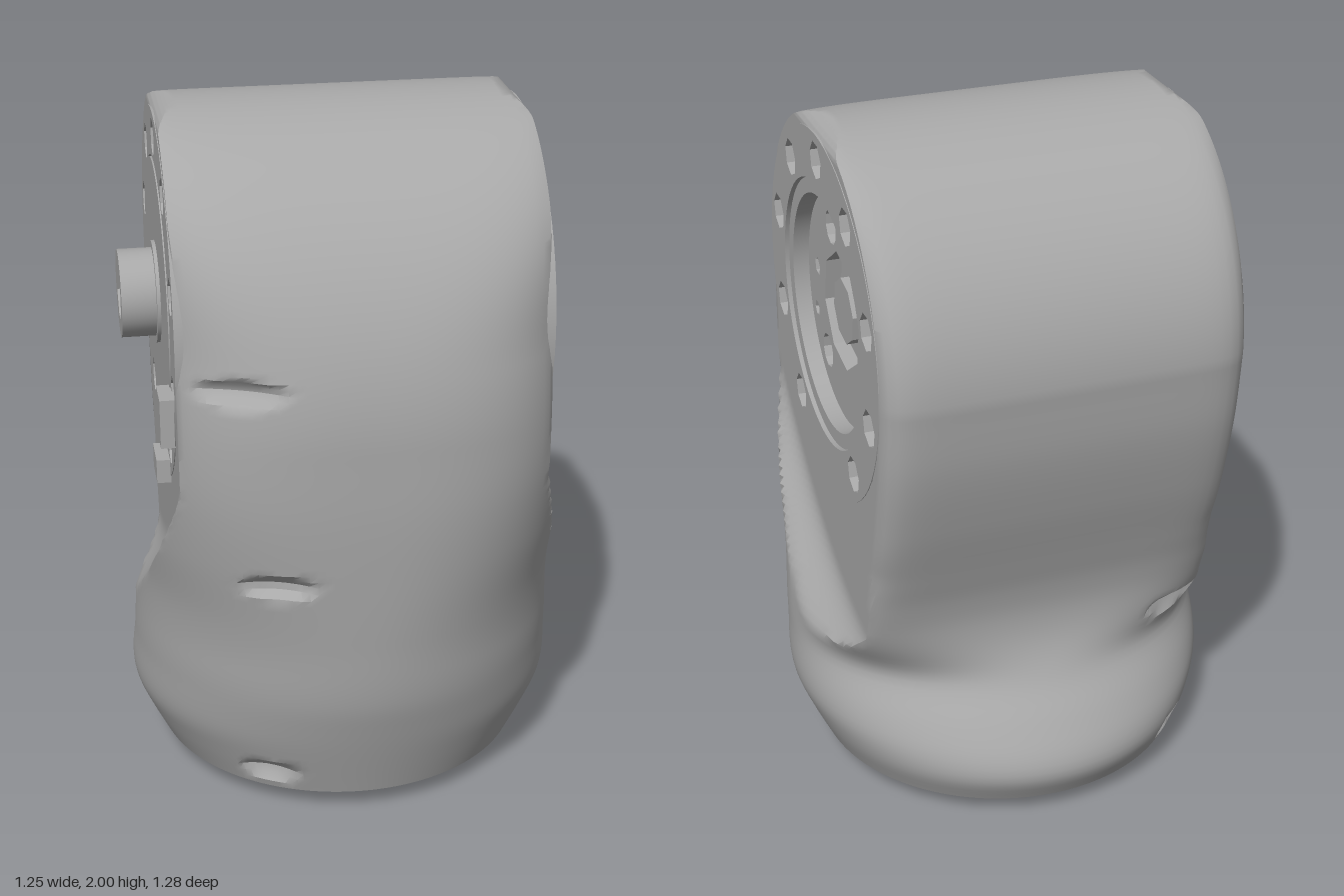
import * as THREE from 'three';
import { toCreasedNormals } from 'three/addons/utils/BufferGeometryUtils.js';

const { smoothstep, lerp } = THREE.MathUtils;
const gray = new THREE.MeshStandardMaterial({ color: 0xa8a8a8 });
gray.name = 'castGray';
const AXIS_Y = 1.44, AXIS_Z = -0.045, FACE = 0.51;

// smooth lookup of a value by height
function table(pairs) {
  const f = new THREE.CubicInterpolant(pairs.map(p => p[0]), pairs.map(p => p[1]), 1, [0]);
  return y => f.evaluate(y)[0];
}
const frontLow = table([[0.065, 0.5], [0.3, 0.57], [0.4, 0.595], [0.6, 0.615], [0.8, 0.63], [1, 0.64], [1.2, 0.64]]);
const backLow = table([[0.065, -0.59], [0.15, -0.63], [0.2, -0.625], [0.3, -0.57], [0.4, -0.5], [0.5, -0.46],
  [0.6, -0.45], [0.7, -0.465], [0.8, -0.495], [1, -0.56], [1.2, -0.61], [1.4, -0.635]]);
const middle = table([[0.065, -0.045], [0.3, -0.01], [0.6, 0.06], [1, 0], [1.4, -0.05], [2, -0.05]]);
const halfWidth = table([[0.065, 0.545], [0.16, 0.59], [0.25, 0.624], [0.4, 0.62], [0.65, 0.605], [0.85, 0.62], [2, 0.62]]);
const arc = t => Math.sqrt(Math.max(0, 1 - t * t));
const frontZ = y => (y > 1.2 ? -0.05 + 0.69 * arc((y - 1.2) / 0.8) : frontLow(y));
const backZ = y => (y > 1.4 ? -0.05 - 0.585 * arc((y - 1.4) / 0.6) : backLow(y));

// screw scoops: centre, half width, inward direction (x, z)
const scoops = [
  [-0.35, 1.37, 0.58, 0.13, 0, -1], [-0.26, 0.8, 0.58, 0.115, 0, -1], [-0.27, 0.13, 0.43, 0.09, 0, -1],
  [-0.4, 0.52, -0.36, 0.11, 0.7, 0.7], [-0.4, 0.13, -0.45, 0.08, 0.7, 0.7],
];

// one point of the housing skin
function skin(a, y) {
  const c = Math.cos(a), s = Math.sin(a), front = s > 0;
  const n = front ? lerp(2, 3, smoothstep(y, 0.5, 1.2)) + 2 * smoothstep(y, 1.4, 2)
    : lerp(2, 12, smoothstep(y, 0.4, 0.95));
  const r = Math.pow(Math.abs(c) ** n + Math.abs(s) ** n, -1 / n);
  const w = front ? halfWidth(y) : lerp(halfWidth(y), 0.525, smoothstep(y, 0.5, 0.85));
  const zc = middle(y);
  let x = r * c * w;
  let z = zc + r * s * (front ? frontZ(y) - zc : zc - backZ(y));
  // flat cheeks above a slanted crease
  const crease = 0.66 + 0.5 * z + 0.5 * z * z;
  let limit = FACE + 0.12 * (1 - smoothstep(y, crease - 0.2, crease + 0.05));
  if (y > 1.95) limit -= 0.05 * ((y - 1.95) / 0.05) ** 2;
  x = THREE.MathUtils.clamp(x, -limit, limit);
  for (const [sx, sy, sz, hw, dx, dz] of scoops) {
    const along = (x - sx) * dz - (z - sz) * dx, away = (x - sx) * dx + (z - sz) * dz;
    const d = (along / hw) ** 2 + ((y - sy) / 0.038) ** 2;
    if (d < 1 && Math.abs(away) < 0.25) { x += dx * 0.04 * (1 - d); z += dz * 0.04 * (1 - d); }
  }
  return [x, y, z];
}

function housingGeometry() {
  const N = 176, M = 140, pos = [], index = [];
  for (let j = 0; j <= M; j++) {
    const y = 0.065 + 1.935 * Math.sin((j / M) * Math.PI / 2);
    for (let i = 0; i < N; i++) pos.push(...skin((i / N) * Math.PI * 2, y));
  }
  for (let j = 0; j < M; j++) {
    for (let i = 0; i < N; i++) {
      const k = (i + 1) % N, a = j * N + i, b = a + N, c = j * N + k, d = c + N;
      // leave a round opening in each cheek for the joint plates
      const y = (pos[a * 3 + 1] + pos[d * 3 + 1]) / 2, z = (pos[a * 3 + 2] + pos[d * 3 + 2]) / 2;
      const x = Math.min(Math.abs(pos[a * 3]), Math.abs(pos[d * 3]));
      if (x > 0.495 && Math.hypot(y - AXIS_Y, z - AXIS_Z) < 0.512) continue;
      index.push(a, b, c, c, b, d);
    }
  }
  const g = new THREE.BufferGeometry();
  g.setAttribute('position', new THREE.Float32BufferAttribute(pos, 3));
  g.setIndex(index);
  return toCreasedNormals(g, 0.6);
}

function add(parent, name, geometry) {
  const m = new THREE.Mesh(geometry, gray);
  m.name = name;
  parent.add(m);
  return m;
}

// round plate from z0 to z1 with holes [u, v, radius, sides]
function plate(parent, name, radius, z0, z1, holes = [], sides = 64) {
  const ring = (u, v, r, n) => Array.from({ length: n }, (_, i) => {
    const a = (i / n) * Math.PI * 2 + 0.2;
    return new THREE.Vector2(u + r * Math.cos(a), v + r * Math.sin(a));
  });
  const shape = new THREE.Shape(ring(0, 0, radius, sides));
  for (const [u, v, r, n] of holes) shape.holes.push(new THREE.Path(ring(u, v, r, n)));
  const g = new THREE.ExtrudeGeometry(shape, { depth: z1 - z0, bevelEnabled: false });
  g.translate(0, 0, z0);
  return add(parent, name, toCreasedNormals(g, 0.5));
}

export function createModel() {
  const model = new THREE.Group();
  model.name = 'robotJoint';
  add(model, 'housing', housingGeometry());

  // nine bolt holes around each joint, none at the bottom
  const bolts = [];
  for (let i = 0; i < 10; i++) {
    if (i === 5) continue;
    const a = (i / 10) * Math.PI * 2;
    bolts.push([0.45 * Math.sin(a), 0.45 * Math.cos(a), 0.053, 7]);
  }
  const side = (name, sign) => {
    const g = new THREE.Group();
    g.name = name;
    g.position.set(0, AXIS_Y, AXIS_Z);
    g.rotation.y = sign * Math.PI / 2;
    model.add(g);
    return g;
  };

  // left cheek: recessed output flange
  const left = side('leftJoint', 1);
  plate(left, 'boltRing', 0.525, 0.41, 0.512, [...bolts, [0, 0, 0.38, 64]]);
  plate(left, 'recessFloor', 0.525, 0.39, 0.41);
  plate(left, 'flangeLip', 0.378, 0.41, 0.5, [[0, 0, 0.335, 64]]);
  const flangeHoles = [
    [-0.08, 0.22, 0.05, 10], [0.24, -0.04, 0.05, 10], [-0.155, -0.19, 0.05, 10],
    [0.045, 0.26, 0.026, 8], [-0.235, 0.04, 0.026, 5], [-0.255, -0.1, 0.022, 6],
    [0.205, -0.18, 0.028, 8], [0.265, 0.075, 0.015, 6],
  ];
  plate(left, 'flangeDisc', 0.33, 0.41, 0.455, [...flangeHoles, [0, 0, 0.17, 8]]);
  plate(left, 'flangePlug', 0.095, 0.41, 0.45, [], 8);

  // right cheek: flush cover with a hollow boss
  const right = side('rightJoint', -1);
  plate(right, 'boltRing', 0.525, 0.41, 0.512, [...bolts, [0, 0, 0.386, 64]]);
  plate(right, 'recessFloor', 0.525, 0.39, 0.41);
  plate(right, 'coverDisc', 0.38, 0.41, 0.515);
  plate(right, 'bossCollar', 0.145, 0.515, 0.525);
  plate(right, 'boss', 0.125, 0.515, 0.622, [[0, 0, 0.08, 6]], 40);
  for (const [y, z, h, d] of [[1.22, 0.34, 0.14, 0.11], [0.985, 0.13, 0.07, 0.12]]) {
    add(model, 'sideTab', new THREE.BoxGeometry(0.06, h, d)).position.set(-0.52, y, z);
  }

  // underside: rim, cavity and mounting flange
  const profile = [[0, 0.2], [0.46, 0.2], [0.46, 0.065], [0.545, 0.065]].map(p => new THREE.Vector2(...p));
  const rim = add(model, 'baseCavity', toCreasedNormals(new THREE.LatheGeometry(profile, 64), 0.5));
  rim.position.z = AXIS_Z;
  const base = new THREE.Group();
  base.name = 'baseFlange';
  base.position.set(0, 0, AXIS_Z);
  base.rotation.x = Math.PI / 2;
  model.add(base);
  plate(base, 'flangeNeck', 0.27, -0.21, -0.06);
  plate(base, 'flangeStep', 0.33, -0.1, -0.06);
  plate(base, 'flangeRim', 0.302, -0.06, -0.025, [[0, 0, 0.265, 64]]);
  plate(base, 'flangeFace', 0.25, -0.06, -0.015, [
    [0, 0, 0.1, 8], [0.17, 0.05, 0.035, 8], [-0.13, 0.13, 0.035, 8], [-0.05, -0.18, 0.035, 8],
    [0.06, 0.17, 0.02, 6], [-0.18, -0.04, 0.02, 6], [0.12, -0.13, 0.02, 6]]);
  plate(base, 'flangeCore', 0.08, -0.06, 0, [], 8);
  const tab = add(base, 'flangeTab', new THREE.BoxGeometry(0.06, 0.1, 0.03));
  tab.position.set(-0.32, 0, -0.05);
  return model;
}
